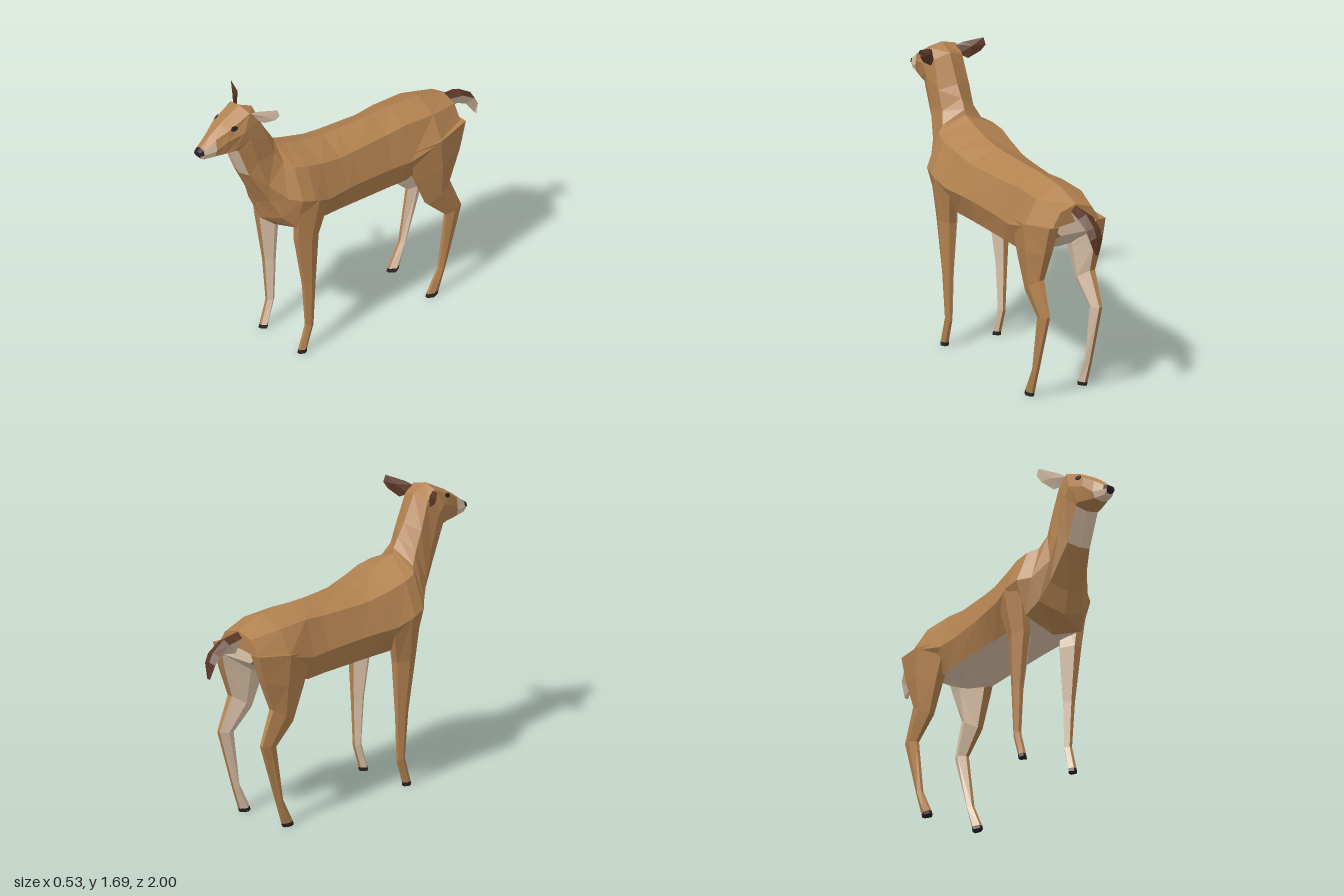
import * as THREE from 'three';

const mat = (name, color) => {
  const m = new THREE.MeshStandardMaterial({ color, flatShading: true, side: THREE.DoubleSide });
  m.name = name;
  return m;
};
const V = (x, y, z) => new THREE.Vector3(x, y, z);

// Indices into the shared material list
const COAT = 0, CREAM = 1, DARK = 2, BLACK = 3;

// Build a flat-faceted mesh from triangles tagged with a material index
function facetMesh(name, tris, mats) {
  let vol = 0;
  const c = tris.reduce((s, t) => s.add(t.p[0]), V(0, 0, 0)).divideScalar(tris.length);
  for (const { p } of tris) {
    const [a, b, d] = p.map((q) => q.clone().sub(c));
    vol += a.dot(b.cross(d));
  }
  const pos = [], geo = new THREE.BufferGeometry();
  for (let m = 0; m < mats.length; m++) {
    const start = pos.length / 3;
    for (const t of tris) {
      if (t.m !== m) continue;
      const p = vol < 0 ? [t.p[0], t.p[2], t.p[1]] : t.p;
      p.forEach((q) => pos.push(q.x, q.y, q.z));
    }
    if (pos.length / 3 > start) geo.addGroup(start, pos.length / 3 - start, m);
  }
  geo.setAttribute('position', new THREE.Float32BufferAttribute(pos, 3));
  geo.computeVertexNormals();
  const mesh = new THREE.Mesh(geo, mats);
  mesh.name = name;
  return mesh;
}

// Skin a run of closed rings; paint(segment, side) picks the colour, caps use segment -1 and 'end'
function loft(name, rings, mats, paint, capStart, capEnd) {
  const tris = [], n = rings[0].length;
  for (let i = 0; i + 1 < rings.length; i++) {
    for (let k = 0; k < n; k++) {
      const a = rings[i][k], b = rings[i][(k + 1) % n];
      const c = rings[i + 1][(k + 1) % n], d = rings[i + 1][k], m = paint(i, k);
      tris.push({ p: [a, b, c], m }, { p: [a, c, d], m });
    }
  }
  const cap = (ring, seg, flip) => {
    const mid = ring.reduce((s, q) => s.add(q), V(0, 0, 0)).divideScalar(n);
    ring.forEach((a, k) => {
      const b = ring[(k + 1) % n];
      tris.push({ p: flip ? [mid, b, a] : [mid, a, b], m: paint(seg, k) });
    });
  };
  if (capStart) cap(rings[0], -1, true);
  if (capEnd) cap(rings[rings.length - 1], 'end', false);
  return facetMesh(name, tris, mats);
}

// Mirrored 8-point ring: top, crease, flank, lower edge, underside
function ring([ty, tz, cx, cy, cz, fx, fy, fz, gx, gy, gz, by, bz]) {
  return [V(0, ty, tz), V(cx, cy, cz), V(fx, fy, fz), V(gx, gy, gz), V(0, by, bz),
    V(-gx, gy, gz), V(-fx, fy, fz), V(-cx, cy, cz)];
}
const band = (k) => Math.min(k, 7 - k);

// Leg from levels [frontY, frontZ, backY, backZ, outerX, innerX]; cream inside, black hoof last
function leg(name, levels, side, mats) {
  const rings = levels.map(([yf, zf, yb, zb, xo, xi]) => {
    const x = (t) => side * (xi + (xo - xi) * t), ym = (yf + yb) / 2, zm = (zf + zb) / 2;
    return [V(x(0.75), yf, zf), V(x(1), ym, zm), V(x(0.75), yb, zb),
      V(x(0.4), yb, zb), V(x(0), ym, zm), V(x(0.4), yf, zf)];
  });
  const paint = (i, k) => {
    if (i === 'end' || i === levels.length - 2) return BLACK;
    return i >= 0 && (k === 3 || k === 4) ? CREAM : COAT;
  };
  return loft(name, rings, mats, paint, true, true);
}

export function createModel() {
  const model = new THREE.Group();
  model.name = 'deer';
  const mats = [mat('coatBrown', 0xb38250), mat('cream', 0xdcc3a9),
    mat('darkBrown', 0x5c3726), mat('black', 0x2a2123)];

  // Torso: z, topY, crease xy, flank xy, lower edge xy, bottomY
  const torso = [
    [-0.77, 1.17, 0.1, 1.14, 0.155, 1.05, 0.1, 1.0, 1.0],
    [-0.58, 1.225, 0.145, 1.165, 0.222, 1.02, 0.14, 0.87, 0.86],
    [-0.375, 1.235, 0.14, 1.17, 0.205, 0.963, 0.155, 0.82, 0.785],
    [-0.25, 1.233, 0.138, 1.157, 0.2, 0.968, 0.165, 0.83, 0.755],
    [0, 1.232, 0.155, 1.157, 0.215, 0.98, 0.165, 0.83, 0.755],
    [0.1, 1.235, 0.165, 1.16, 0.228, 0.985, 0.165, 0.83, 0.755],
    [0.25, 1.257, 0.18, 1.19, 0.25, 0.99, 0.17, 0.83, 0.755],
    [0.36, 1.29, 0.19, 1.22, 0.265, 1.03, 0.18, 0.84, 0.765],
    [0.44, 1.315, 0.175, 1.24, 0.25, 1.05, 0.19, 0.85, 0.78],
  ].map(([z, t, cx, cy, fx, fy, gx, gy, b]) => ring([t, z, cx, cy, z, fx, fy, z, gx, gy, z, b, z]));
  model.add(loft('torso', torso, mats, (i, k) => {
    if (i === -1) return band(k) < 2 ? COAT : CREAM;
    return band(k) === 3 ? CREAM : COAT;
  }, true, false));

  // Chest and neck, with a cream throat
  const neck = [
    [1.345, 0.45, 0.125, 1.265, 0.48, 0.19, 1.06, 0.5, 0.15, 0.92, 0.51, 0.866, 0.545],
    [1.4, 0.485, 0.1, 1.33, 0.525, 0.125, 1.15, 0.585, 0.11, 1.03, 0.565, 0.99, 0.583],
    [1.47, 0.53, 0.1, 1.44, 0.57, 0.105, 1.32, 0.645, 0.075, 1.235, 0.685, 1.22, 0.695],
    [1.63, 0.61, 0.09, 1.6, 0.63, 0.105, 1.5, 0.7, 0.075, 1.43, 0.765, 1.41, 0.775],
  ].map(ring);
  model.add(loft('neck', [torso[torso.length - 1], ...neck], mats,
    (i, k) => (i === 3 && band(k) === 3 ? CREAM : COAT), false, false));

  // Head, cream muzzle and black nose
  const head = [
    [1.67, 0.7, 0.085, 1.65, 0.69, 0.105, 1.55, 0.74, 0.08, 1.44, 0.79, 1.415, 0.8],
    [1.595, 0.84, 0.07, 1.58, 0.83, 0.08, 1.52, 0.84, 0.06, 1.435, 0.85, 1.42, 0.855],
    [1.55, 0.91, 0.045, 1.54, 0.9, 0.055, 1.47, 0.9, 0.042, 1.432, 0.905, 1.42, 0.91],
    [1.497, 0.975, 0.03, 1.49, 0.975, 0.036, 1.462, 0.975, 0.026, 1.432, 0.975, 1.425, 0.975],
    [1.482, 1, 0.022, 1.478, 1, 0.026, 1.46, 1, 0.018, 1.442, 0.99, 1.437, 0.985],
  ].map(ring);
  model.add(loft('head', [neck[3], ...head], mats, (i, k) => {
    if (i === 'end') return BLACK;
    if (i === 4) return band(k) < 2 ? BLACK : CREAM;
    return i === 3 && band(k) > 0 ? CREAM : COAT;
  }, false, true));

  // Tail: dark along the top, cream beneath
  const tail = [
    [-0.76, 1.165, 0.035, -0.79, 1.04], [-0.88, 1.145, 0.045, -0.87, 1.055],
    [-0.965, 1.09, 0.046, -0.935, 1.025], [-0.995, 1.04, 0.04, -0.965, 0.985],
    [-1, 0.94, 0.012, -0.994, 0.945],
  ].map(([z, y, w, bz, by]) => {
    const ez = z + (bz - z) * 0.25, ey = y + (by - y) * 0.25;
    return [V(0, y, z), V(w, ey, ez), V(0, by, bz), V(-w, ey, ez)];
  });
  model.add(loft('tail', tail, mats, (i, k) => (k === 0 || k === 3 ? DARK : CREAM), false, true));

  const frontLevels = [
    [1.05, 0.445, 0.99, 0.225, 0.266, 0.12],
    [0.76, 0.43, 0.755, 0.285, 0.228, 0.1],
    [0.44, 0.38, 0.44, 0.3, 0.205, 0.135],
    [0.17, 0.36, 0.16, 0.31, 0.193, 0.146],
    [0.022, 0.405, 0.022, 0.355, 0.193, 0.142],
    [0, 0.41, 0, 0.357, 0.195, 0.14],
  ];
  const hindLevels = [
    [1.0, -0.36, 1.06, -0.785, 0.226, 0.05],
    [0.8, -0.44, 0.9, -0.74, 0.22, 0.08],
    [0.615, -0.515, 0.715, -0.67, 0.205, 0.11],
    [0.495, -0.645, 0.52, -0.755, 0.192, 0.138],
    [0.17, -0.595, 0.15, -0.635, 0.193, 0.146],
    [0.022, -0.517, 0.022, -0.59, 0.193, 0.142],
    [0, -0.51, 0, -0.582, 0.195, 0.14],
  ];
  // Leaf-shaped ear outline
  const earRim = [[0.075, 1.64, 0.68], [0.11, 1.66, 0.655], [0.205, 1.69, 0.59], [0.21, 1.65, 0.577],
    [0.185, 1.615, 0.588], [0.12, 1.575, 0.615], [0.08, 1.595, 0.65]];

  for (const [s, label] of [[1, 'left'], [-1, 'right']]) {
    model.add(leg(label + 'FrontLeg', frontLevels, s, mats));
    model.add(leg(label + 'HindLeg', hindLevels, s, mats));

    // Ear: cream hollow in front, dark ridge behind
    const rim = earRim.map(([x, y, z]) => V(s * x, y, z));
    const hollow = V(s * 0.145, 1.635, 0.625), ridge = V(s * 0.14, 1.652, 0.595);
    const tris = rim.flatMap((a, k) => {
      const b = rim[(k + 1) % rim.length];
      return [{ p: [hollow, a, b], m: CREAM }, { p: [ridge, b, a], m: DARK }];
    });
    model.add(facetMesh(label + 'Ear', tris, mats));

    // Eye: thin plate lying on the cheek
    const eye = new THREE.Mesh(new THREE.CylinderGeometry(0.02, 0.02, 0.009, 6), mats[BLACK]);
    eye.name = label + 'Eye';
    eye.quaternion.setFromUnitVectors(V(0, 1, 0), V(s * 0.916, 0.31, 0.253).normalize());
    eye.scale.set(0.75, 1, 1.1);
    eye.position.set(s * 0.078, 1.588, 0.795);
    model.add(eye);
  }
  return model;
}
